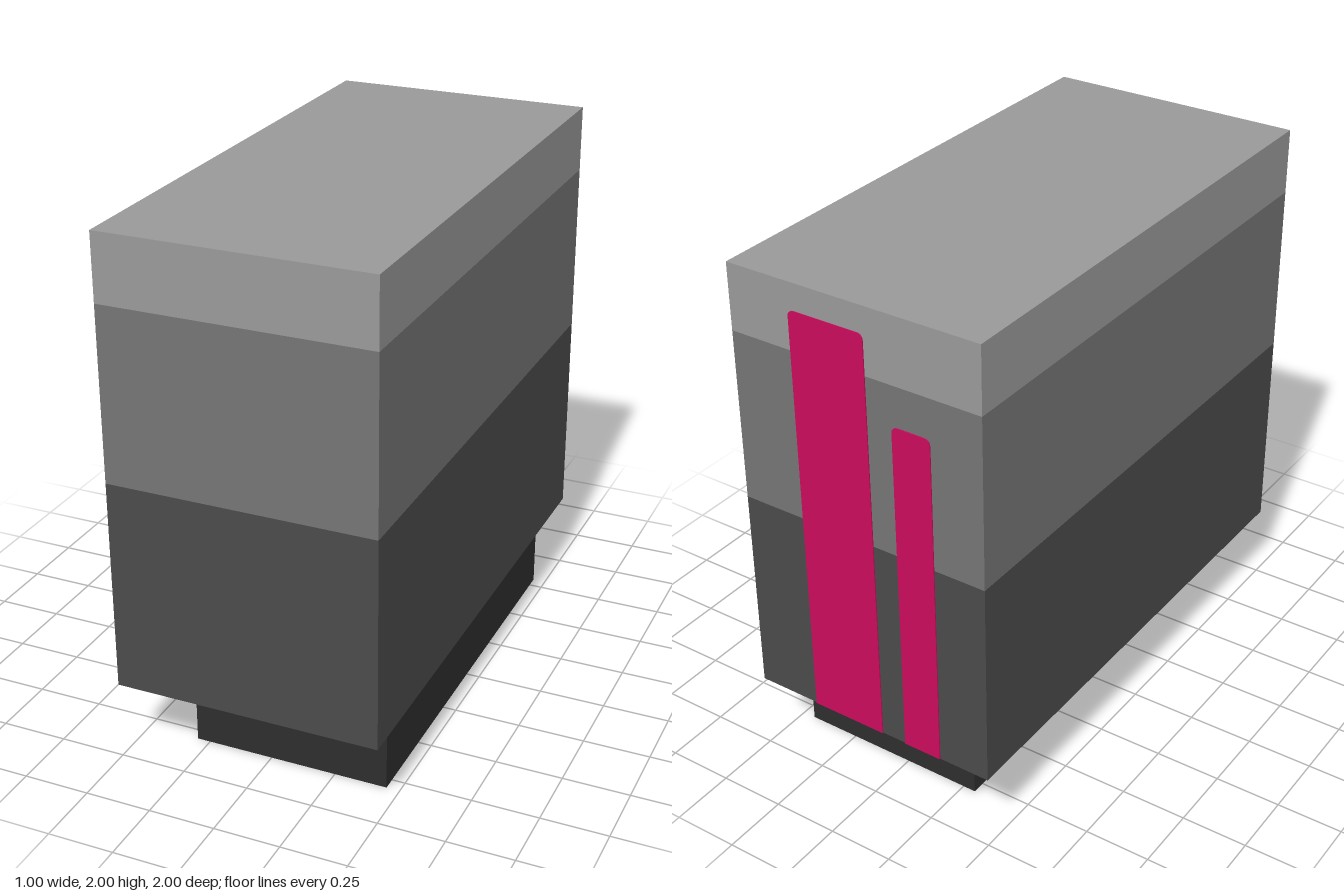
import * as THREE from 'three';

const paint = (name, color) => {
  const m = new THREE.MeshStandardMaterial({ color });
  m.name = name;
  return m;
};

export function createModel() {
  const group = new THREE.Group();
  const lightGrey = paint('light grey', 0x999999);
  const midGrey = paint('mid grey', 0x757575);
  const darkGrey = paint('dark grey', 0x4b4b4b);
  const charcoal = paint('charcoal', 0x2e2e2e);
  const crimson = paint('crimson', 0xcb0c5c);

  // Box given by its x, y and z ranges
  const addBlock = (name, material, [x0, x1], [y0, y1], [z0, z1]) => {
    const mesh = new THREE.Mesh(new THREE.BoxGeometry(x1 - x0, y1 - y0, z1 - z0), material);
    mesh.position.set((x0 + x1) / 2, (y0 + y1) / 2, (z0 + z1) / 2);
    mesh.name = name;
    group.add(mesh);
  };

  // Narrower, off-centre plinth and the three stacked body bands
  addBlock('base', charcoal, [-0.3, 0.45], [0, 0.3], [-0.8, 0.8]);
  addBlock('lowerBody', darkGrey, [-0.5, 0.5], [0.3, 1.1], [-1, 1]);
  addBlock('middleBody', midGrey, [-0.5, 0.5], [1.1, 1.75], [-1, 1]);
  addBlock('upperBody', lightGrey, [-0.5, 0.5], [1.75, 2], [-1, 1]);

  // Thin upright stripe with softened top corners on the back face
  const addStripe = (name, x0, x1, top) => {
    const r = 0.025, bottom = 0.3, depth = 0.005;
    const shape = new THREE.Shape();
    shape.moveTo(x0, bottom);
    shape.lineTo(x1, bottom);
    shape.lineTo(x1, top - r);
    shape.quadraticCurveTo(x1, top, x1 - r, top);
    shape.lineTo(x0 + r, top);
    shape.quadraticCurveTo(x0, top, x0, top - r);
    shape.closePath();
    const geometry = new THREE.ExtrudeGeometry(shape, { depth, bevelEnabled: false, curveSegments: 4 });
    const mesh = new THREE.Mesh(geometry, crimson);
    mesh.position.z = -1 - depth + 0.001;
    mesh.name = name;
    group.add(mesh);
  };
  addStripe('wideStripe', -0.05, 0.25, 1.9);
  addStripe('narrowStripe', -0.3, -0.15, 1.6);

  return group;
}
